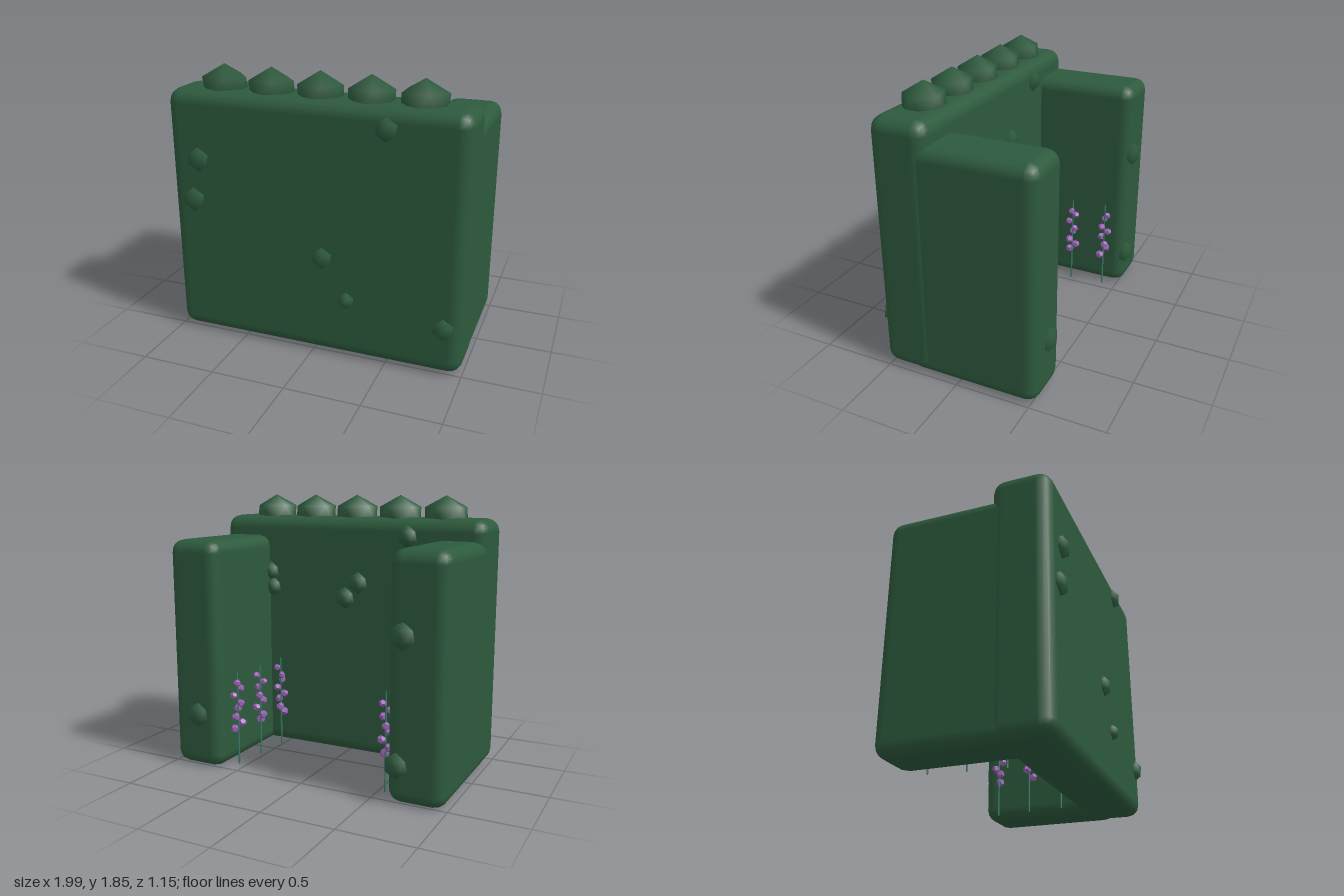
import * as THREE from 'three';
import { mergeVertices } from 'three/addons/utils/BufferGeometryUtils.js';
import { RoundedBoxGeometry } from 'three/addons/geometries/RoundedBoxGeometry.js';

// Smooth-shaded icosahedron with one corner pointing straight up
function smoothIco() {
  let g = new THREE.IcosahedronGeometry(1, 0);
  g.deleteAttribute('normal');
  g.deleteAttribute('uv');
  g = mergeVertices(g, 1e-4);
  g.rotateX(-Math.atan2((1 + Math.sqrt(5)) / 2, 1));
  g.rotateY(Math.PI / 2);
  g.computeVertexNormals();
  return g;
}

export function createModel() {
  const model = new THREE.Group();
  model.name = 'hedgeAlcove';
  const leaf = new THREE.MeshStandardMaterial({ color: 0x2d5a3d });
  leaf.name = 'hedge green';
  const stemGreen = new THREE.MeshStandardMaterial({ color: 0x3a7d6a });
  stemGreen.name = 'stem green';
  const purple = new THREE.MeshStandardMaterial({ color: 0x9b62b6, flatShading: true });
  purple.name = 'blossom purple';

  const add = (parent, name, geo, mat, x, y, z) => {
    const m = new THREE.Mesh(geo, mat);
    m.name = name;
    m.position.set(x, y, z);
    parent.add(m);
    return m;
  };

  // Rounded hedge block given by its limits
  const block = (name, x0, x1, y0, y1, z0, z1, r) =>
    add(model, name, new RoundedBoxGeometry(x1 - x0, y1 - y0, z1 - z0, 2, r), leaf,
      (x0 + x1) / 2, (y0 + y1) / 2, (z0 + z1) / 2);

  block('backHedge', -0.996, 0.996, 0.01, 1.7, 0.155, 0.54, 0.09);
  block('leftWing', 0.61, 0.988, 0, 1.56, -0.54, 0.36, 0.085);
  block('rightWing', -0.988, -0.61, 0, 1.56, -0.54, 0.36, 0.085);

  // Row of clipped domes along the top
  const ico = smoothIco();
  for (let i = -2; i <= 2; i++) {
    add(model, 'topDome', ico, leaf, i * 0.33, 1.705, 0.345).scale.set(0.17, 0.145, 0.147);
  }

  // Leaf tufts on the faces: x, y, z, radius
  const tufts = [
    [-0.78, 1.25, 0.54, 0.082], [-0.83, 0.97, 0.54, 0.084], [0.075, 0.69, 0.54, 0.073],
    [0.24, 0.42, 0.54, 0.056], [0.875, 0.335, 0.54, 0.073], [0.485, 1.57, 0.54, 0.075],
    [-0.46, 1.58, 0.155, 0.075], [-0.1, 1.25, 0.155, 0.077], [0, 1.14, 0.155, 0.077],
    [0.6, 1.3, 0.155, 0.07], [0.585, 1.19, 0.155, 0.07],
    [0.78, 0.37, -0.535, 0.09], [-0.71, 1.05, -0.535, 0.09], [-0.68, 0.25, -0.535, 0.085],
  ];
  for (const [x, y, z, r] of tufts) {
    add(model, 'leafTuft', ico, leaf, x, y, z).scale.set(r, r, 0.047);
  }

  // Flower spikes: a thin stem with blossoms spiralling up it
  const stemGeo = new THREE.CylinderGeometry(0.005, 0.006, 0.66, 6);
  const blossomGeo = new THREE.DodecahedronGeometry(0.029, 0);
  const spike = (x, z, turn) => {
    const g = new THREE.Group();
    g.name = 'flowerSpike';
    g.position.set(x, 0, z);
    add(g, 'stem', stemGeo, stemGreen, 0, 0.34, 0);
    for (let i = 0; i < 8; i++) {
      const a = turn + i * 2.4;
      const b = add(g, 'blossom', blossomGeo, purple,
        Math.cos(a) * 0.027, 0.26 + i * 0.048, Math.sin(a) * 0.027);
      b.rotation.y = a;
      b.scale.setScalar(1.05 - i * 0.03);
    }
    model.add(g);
  };
  for (let i = 0; i < 3; i++) {
    const z = -0.4 + i * 0.245;
    spike(0.545 - i * 0.025, z, i);
    spike(-0.555 + i * 0.027, z, i + 1);
  }

  return model;
}
